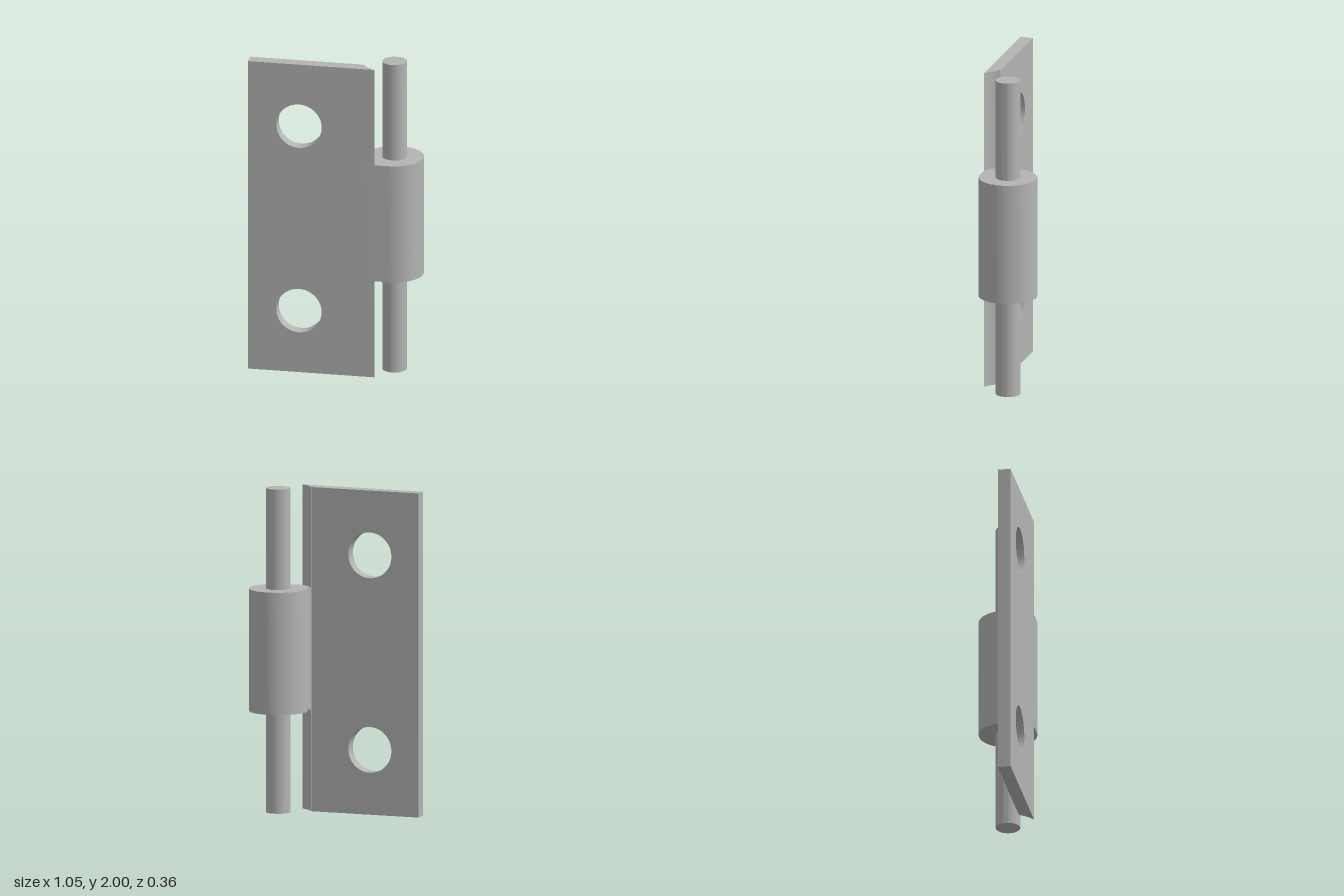
import * as THREE from 'three';
import { toCreasedNormals } from 'three/addons/utils/BufferGeometryUtils.js';

const steel = new THREE.MeshStandardMaterial({ color: 0xb4b4b4 });
steel.name = 'steel grey';

const H = 2;                          // overall height
const LEFT = -0.527, SEAM = 0.17;     // flat leaf extent in x
const BACK = 0.1, FRONT = 0.179;      // leaf faces in z
const PIN_X = 0.349, PIN_R = 0.075;   // hinge axis
const BARREL_R = 0.179, CLEAR_R = 0.2;
const BARREL_Y0 = 0.625, BARREL_Y1 = 1.38;

function part(name, geometry) {
  const mesh = new THREE.Mesh(toCreasedNormals(geometry, 0.5), steel);
  mesh.name = name;
  return mesh;
}

// Extrudes a plan outline (x, z) between two heights
function extrudeUp(shape, y0, y1) {
  return new THREE.ExtrudeGeometry(shape, { depth: y1 - y0, bevelEnabled: false, curveSegments: 32 })
    .rotateX(Math.PI / 2)
    .translate(0, y1, 0);
}

export function createModel() {
  const hinge = new THREE.Group();
  hinge.name = 'hingeHalf';

  // Flat leaf with two screw holes
  const leaf = new THREE.Shape();
  leaf.moveTo(LEFT, 0).lineTo(SEAM, 0).lineTo(SEAM, H).lineTo(LEFT, H).closePath();
  for (const y of [0.4, 1.6]) {
    leaf.holes.push(new THREE.Path().absarc(-0.21, y, 0.141, 0, Math.PI * 2, true));
  }
  const leafGeometry = new THREE.ExtrudeGeometry(leaf, {
    depth: FRONT - BACK, bevelEnabled: false, curveSegments: 32,
  }).translate(0, 0, BACK);
  hinge.add(part('leaf', leafGeometry));

  // Hollowed leaf edge that clears the mating barrel, above and below
  const edge = new THREE.Shape();
  edge.moveTo(SEAM, BACK);
  edge.absarc(PIN_X, 0, CLEAR_R, Math.PI - Math.asin(BACK / CLEAR_R),
    Math.PI - Math.asin(FRONT / CLEAR_R), true);
  edge.lineTo(SEAM, FRONT).closePath();
  hinge.add(part('lowerLeafEdge', extrudeUp(edge, 0, BARREL_Y0)));
  hinge.add(part('upperLeafEdge', extrudeUp(edge, BARREL_Y1, H)));

  // Barrel running tangentially into the leaf
  const barrel = new THREE.Shape();
  barrel.moveTo(SEAM, BACK);
  barrel.absarc(PIN_X, 0, BARREL_R, Math.PI - Math.asin(BACK / BARREL_R), Math.PI * 2.5, false);
  barrel.lineTo(SEAM, FRONT).closePath();
  hinge.add(part('barrel', extrudeUp(barrel, BARREL_Y0, BARREL_Y1)));

  // Pin through the barrel
  const pin = new THREE.CylinderGeometry(PIN_R, PIN_R, H, 48).translate(PIN_X, H / 2, 0);
  hinge.add(part('pin', pin));

  return hinge;
}
